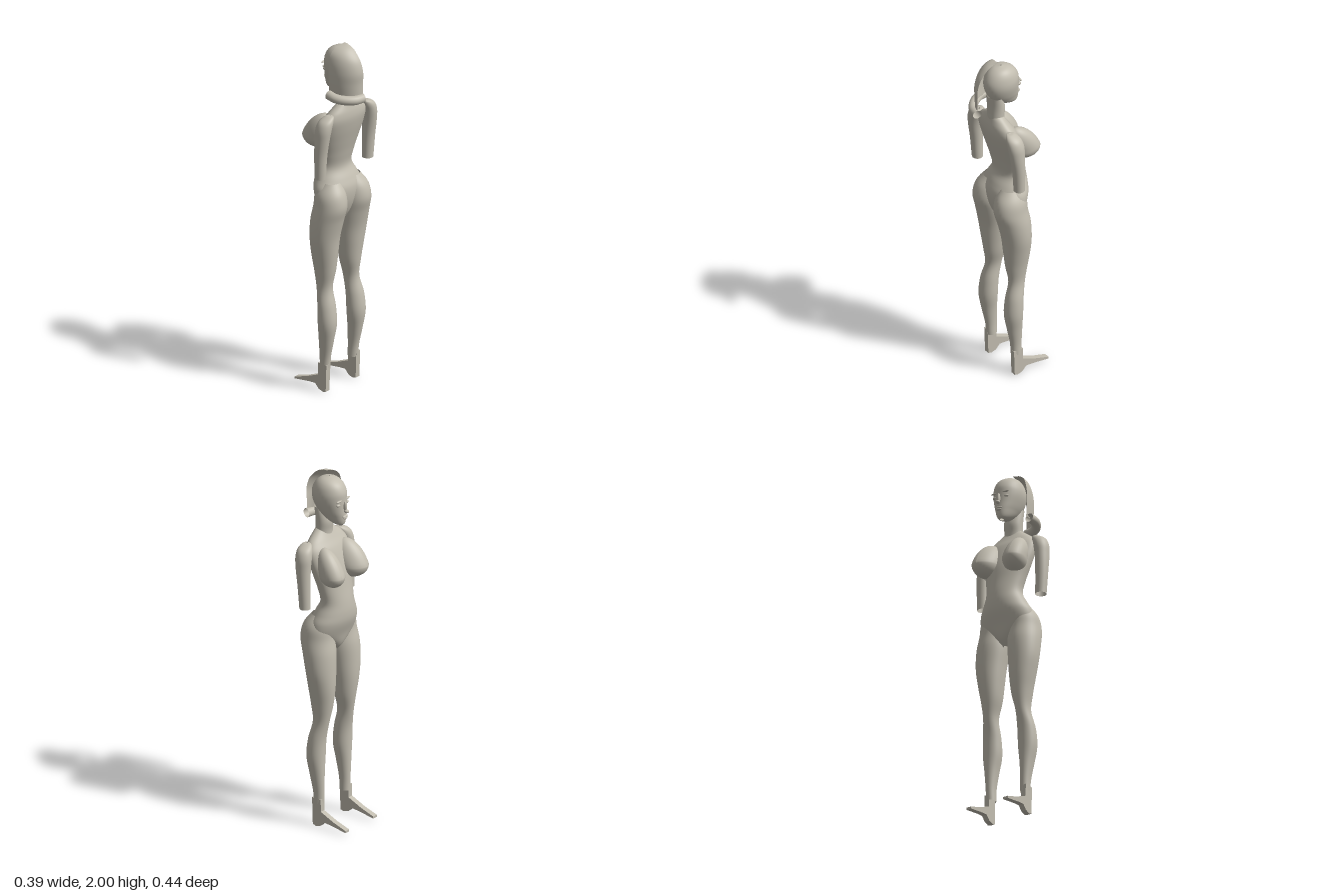
import * as THREE from 'three';

const clay = new THREE.MeshStandardMaterial({ color: 0xc2bdb0, side: THREE.DoubleSide });
clay.name = 'warm grey clay';

// Smooth loft through rows of [y, xMin, xMax, zCentre, zHalfWidth], listed upwards
function loft(rows, side = 1, arc = Math.PI * 2, seg = 36) {
  const closed = arc > 6.28, steps = (rows.length - 1) * 5;
  const a = new THREE.CatmullRomCurve3(rows.map(r => new THREE.Vector3(r[1], r[0], r[2])), false, 'centripetal');
  const b = new THREE.CatmullRomCurve3(rows.map(r => new THREE.Vector3(r[3], r[0], r[4])), false, 'centripetal');
  const cols = closed ? seg : seg + 1, pos = [], idx = [];
  for (let i = 0; i <= steps; i++) {
    const p = a.getPoint(i / steps), q = b.getPoint(i / steps);
    for (let j = 0; j < cols; j++) {
      const t = arc * j / seg;
      pos.push((p.x + p.z) / 2 + (p.z - p.x) / 2 * Math.cos(t), p.y, side * q.x + q.z * Math.sin(t));
    }
  }
  for (let i = 0; i < steps; i++) for (let j = 0; j < seg; j++) {
    const k = (j + 1) % cols, m = i * cols, n = m + cols;
    idx.push(m + j, n + j, m + k, m + k, n + j, n + k);
  }
  const g = new THREE.BufferGeometry();
  g.setAttribute('position', new THREE.Float32BufferAttribute(pos, 3));
  g.setIndex(idx);
  g.computeVertexNormals();
  return g;
}

// Rounded mass whose upper half slopes back into the chest
function bustGeometry() {
  const g = new THREE.SphereGeometry(1, 32, 24), p = g.attributes.position;
  for (let i = 0; i < p.count; i++) {
    const x = p.getX(i), y = p.getY(i), z = p.getZ(i), up = Math.max(y, 0);
    p.setXYZ(i, x * 0.085 + up * 0.05, y * (y > 0 ? 0.135 : 0.07), z * 0.068 - x * 0.015);
  }
  g.computeVertexNormals();
  return g;
}

export function createModel() {
  const model = new THREE.Group();
  model.name = 'mannequin';
  const add = (name, geo, x = 0, y = 0, z = 0) => {
    const m = new THREE.Mesh(geo, clay);
    m.name = name;
    m.position.set(x, y, z);
    model.add(m);
    return m;
  };
  const blob = (name, x, y, z, sx, sy, sz) => add(name, new THREE.SphereGeometry(1, 16, 12), x, y, z).scale.set(sx, sy, sz);

  // Trunk and neck
  add('torso', loft([
    [0.99, -0.04, 0.04, 0, 0.015], [1.03, -0.07, 0.06, 0, 0.06], [1.1, -0.092, 0.08, 0, 0.15],
    [1.17, -0.115, 0.083, 0, 0.153], [1.22, -0.12, 0.065, 0, 0.13], [1.28, -0.115, 0.038, 0, 0.105],
    [1.36, -0.1, 0.05, 0, 0.115], [1.44, -0.085, 0.07, 0, 0.135], [1.52, -0.06, 0.09, 0, 0.15],
    [1.58, -0.035, 0.1, 0, 0.15], [1.62, -0.01, 0.098, 0, 0.125], [1.655, 0.01, 0.09, 0, 0.08],
    [1.68, 0.02, 0.085, 0, 0.045]], 1, Math.PI * 2, 48));
  add('neck', loft([[1.58, 0, 0.09, 0, 0.06], [1.66, 0.005, 0.09, 0, 0.052],
    [1.72, 0, 0.09, 0, 0.052], [1.8, 0.02, 0.095, 0, 0.055]]));

  // Head
  add('head', loft([
    [1.715, -0.075, -0.05, 0, 0.01], [1.728, -0.086, 0, 0, 0.03], [1.77, -0.092, 0.07, 0, 0.052],
    [1.81, -0.09, 0.098, 0, 0.068], [1.86, -0.088, 0.112, 0, 0.08], [1.9, -0.085, 0.11, 0, 0.079],
    [1.94, -0.065, 0.09, 0, 0.066], [1.965, -0.03, 0.06, 0, 0.042], [1.976, 0.01, 0.02, 0, 0.003]]));
  blob('noseBridge', -0.091, 1.825, 0, 0.012, 0.032, 0.008);
  blob('noseTip', -0.102, 1.803, 0, 0.014, 0.01, 0.012);
  blob('upperLip', -0.093, 1.773, 0, 0.009, 0.006, 0.02);
  blob('lowerLip', -0.092, 1.763, 0, 0.009, 0.007, 0.016);

  // Hair: a half cap on one side with a rolled hem
  add('hairCap', loft([
    [1.74, -0.11, 0.165, 0, 0.1], [1.8, -0.11, 0.165, 0, 0.105], [1.86, -0.11, 0.167, 0, 0.106],
    [1.92, -0.1, 0.15, 0, 0.1], [1.96, -0.07, 0.12, 0, 0.085], [1.985, -0.03, 0.09, 0, 0.055],
    [2, 0.02, 0.05, 0, 0.003]], 1, 1.65, 24));
  const hem = new THREE.CatmullRomCurve3([[0.167, 1.717, 0], [0.153, 1.717, 0.055], [0.115, 1.72, 0.097],
    [0.07, 1.725, 0.117], [0.025, 1.73, 0.114]].map(p => new THREE.Vector3(...p)));
  add('hairRoll', new THREE.TubeGeometry(hem, 32, 0.025, 16));

  // Foot side profile
  const foot = new THREE.Shape([[0.025, 0.16], [-0.033, 0.16], [-0.034, 0.09], [-0.12, 0.052], [-0.2, 0.026],
    [-0.2, 0.014], [-0.1, 0.03], [-0.055, 0.034], [-0.03, 0.008], [0, 0], [0.02, 0.006], [0.022, 0.08]]
    .map(p => new THREE.Vector2(...p)));

  for (const s of [1, -1]) {
    const side = s > 0 ? 'positive' : 'negative';
    const name = part => `${part}_${side}Side`;
    add(name('arm'), loft([
      [1.27, 0, 0.06, 0.185, 0.03], [1.4, 0, 0.07, 0.187, 0.034], [1.5, 0, 0.085, 0.184, 0.037],
      [1.56, 0, 0.092, 0.176, 0.04], [1.6, 0.01, 0.09, 0.16, 0.037], [1.622, 0.03, 0.078, 0.14, 0.02],
      [1.626, 0.05, 0.06, 0.135, 0.003]], s));
    add(name('leg'), loft([
      [0.13, -0.034, 0.024, 0.108, 0.026], [0.2, -0.035, 0.03, 0.11, 0.027], [0.3, -0.036, 0.05, 0.112, 0.037],
      [0.4, -0.037, 0.065, 0.112, 0.051], [0.5, -0.042, 0.055, 0.11, 0.049], [0.6, -0.06, 0.033, 0.103, 0.039],
      [0.7, -0.078, 0.046, 0.097, 0.055], [0.8, -0.09, 0.058, 0.1, 0.07], [0.9, -0.092, 0.07, 0.103, 0.083],
      [1, -0.088, 0.092, 0.098, 0.089], [1.08, -0.075, 0.112, 0.093, 0.085], [1.15, -0.07, 0.1, 0.088, 0.076],
      [1.21, -0.04, 0.06, 0.075, 0.05]], s));
    add(name('foot'), new THREE.ExtrudeGeometry(foot, { depth: 0.03, bevelEnabled: false }), 0, 0, s * 0.117 - 0.015);
    const bust = add(name('bust'), bustGeometry(), -0.072, 1.462, s * 0.087);
    if (s < 0) bust.rotation.x = 0;
    bust.scale.z = s;
    // Eye and brow
    blob(name('eye'), -0.074, 1.84, s * 0.034, 0.01, 0.008, 0.015);
    blob(name('brow'), -0.08, 1.864, s * 0.034, 0.008, 0.005, 0.022);
  }
  return model;
}
